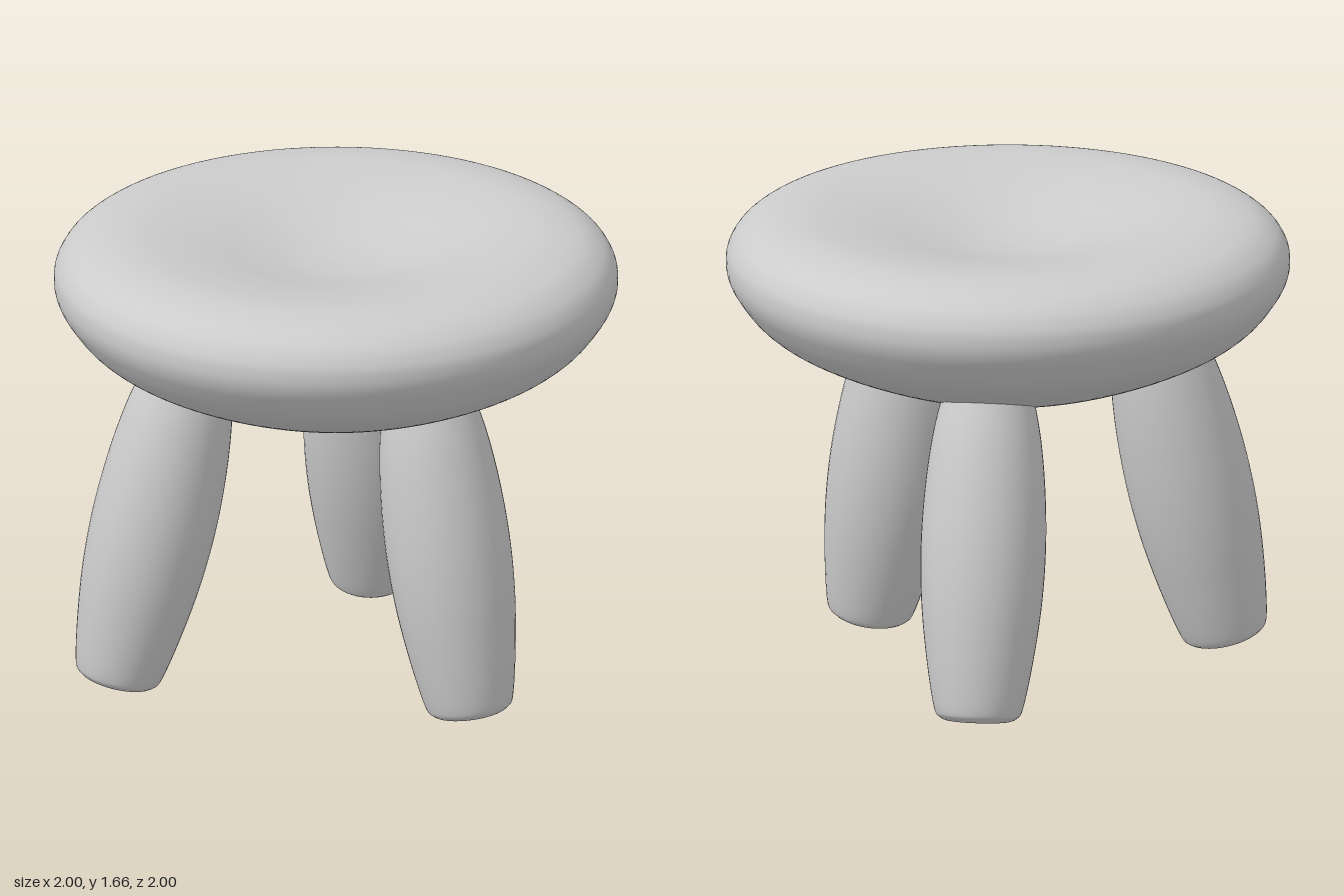
import * as THREE from 'three';

const material = new THREE.MeshStandardMaterial({ color: 0xcccccc });

// Smooth solid of revolution through a few [radius, height] points
function turned(name, points, samples, segments) {
  const curve = new THREE.SplineCurve(points.map(([r, y]) => new THREE.Vector2(r, y)));
  const profile = curve.getPoints(samples);
  profile.forEach((p) => { p.x = Math.max(p.x, 0); });
  const mesh = new THREE.Mesh(new THREE.LatheGeometry(profile, segments), material);
  mesh.name = name;
  return mesh;
}

export function createModel() {
  const stool = new THREE.Group();
  stool.name = 'stool';

  // Seat: bowl-shaped underside, rounded rim, shallow dished top
  stool.add(turned('seat', [
    [0, 1.01], [0.25, 1.03], [0.45, 1.08], [0.64, 1.15], [0.8, 1.228], [0.9, 1.302],
    [0.965, 1.385], [0.993, 1.44], [1, 1.49], [0.99, 1.54], [0.95, 1.595], [0.87, 1.64],
    [0.74, 1.66], [0.59, 1.648], [0.44, 1.62], [0.3, 1.586], [0.15, 1.557], [0, 1.547],
  ], 136, 96));

  // Legs: swollen, splayed outwards, with a shallow ring-shaped hollow under each foot
  const legProfile = [
    [0, 0.006], [0.025, 0.01], [0.055, 0.022], [0.08, 0.013], [0.105, 0], [0.138, 0.012],
    [0.159, 0.05], [0.19, 0.22], [0.214, 0.42], [0.222, 0.62], [0.214, 0.82],
    [0.194, 1.0], [0.166, 1.14], [0.14, 1.24], [0, 1.26],
  ];
  const legs = [
    { name: 'leftLeg', x: 0.67, z: 0.083, heading: 3, splay: 10 },
    { name: 'frontRightLeg', x: -0.502, z: 0.622, heading: 128.5, splay: 13 },
    { name: 'backRightLeg', x: -0.382, z: -0.702, heading: 241.7, splay: 13 },
  ];
  for (const { name, x, z, heading, splay } of legs) {
    const leg = turned(name, legProfile, 112, 48);
    const tilt = THREE.MathUtils.degToRad(splay);
    leg.position.set(x, 0.12 * Math.sin(tilt), z);
    leg.rotation.set(0, -THREE.MathUtils.degToRad(heading), tilt, 'YXZ');
    stool.add(leg);
  }
  return stool;
}
